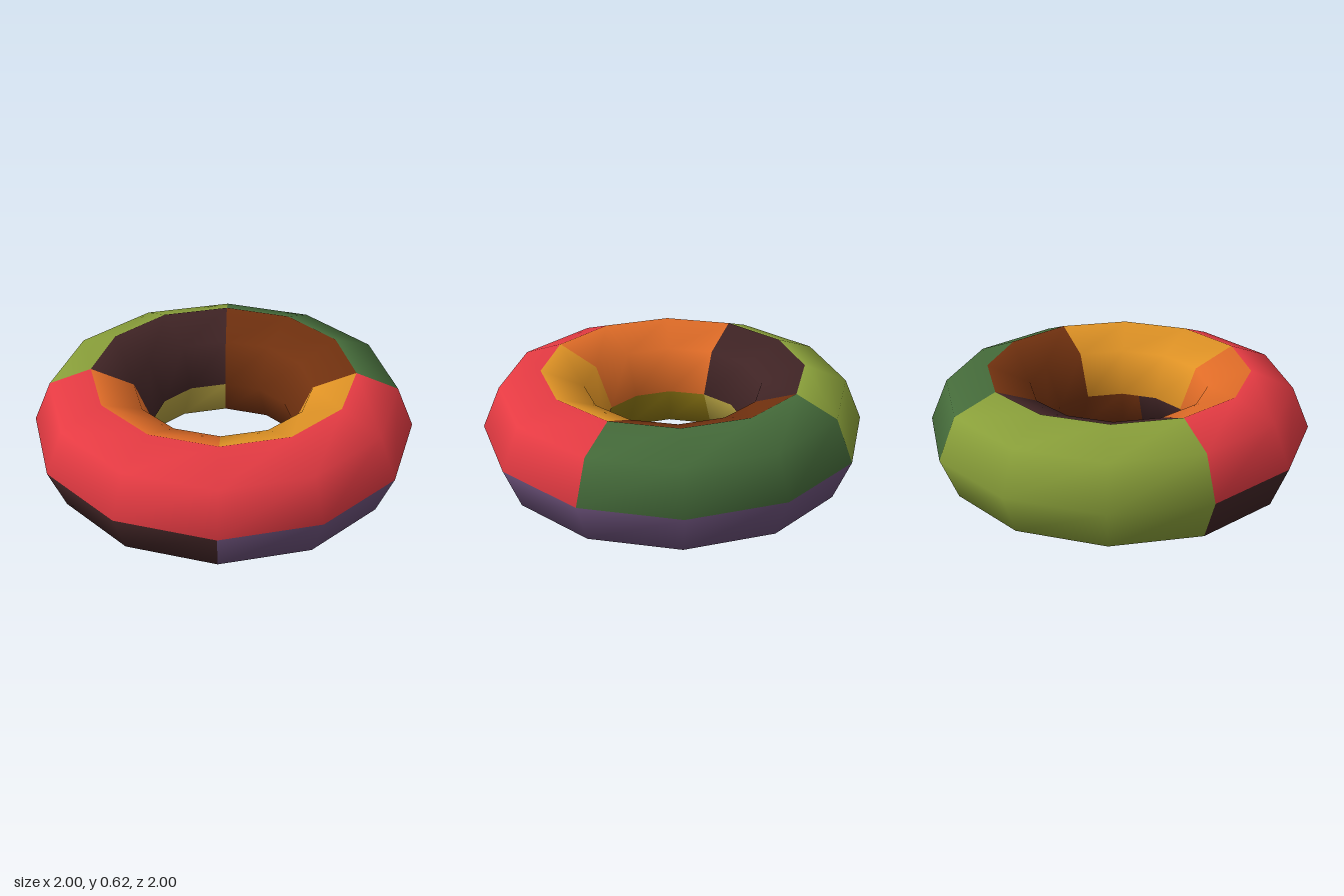
import * as THREE from 'three';

const RING = 0.6875, TUBE = 0.3125, SEGMENTS = 12, SIDES = 8;

function material(name, color) {
  const m = new THREE.MeshStandardMaterial({ color });
  m.name = name;
  return m;
}

// Point and smooth normal at step u around the ring (0 = +x, 3 = +z)
// and step v around the tube (0 = outside, 2 = top, 4 = inside, 6 = bottom).
function sample(u, v) {
  const at = (step) => {
    const a = (step / SEGMENTS) * Math.PI * 2, t = (v / SIDES) * Math.PI * 2;
    const normal = new THREE.Vector3(Math.cos(t) * Math.cos(a), Math.sin(t), Math.cos(t) * Math.sin(a));
    const point = new THREE.Vector3(RING * Math.cos(a), TUBE, RING * Math.sin(a)).addScaledVector(normal, TUBE);
    return { point, normal };
  };
  // A half step lies on the straight edge between two corners
  const a = at(Math.floor(u)), b = at(Math.ceil(u)), k = u - Math.floor(u);
  return { point: a.point.lerp(b.point, k), normal: a.normal.lerp(b.normal, k).normalize() };
}

// Surface patch between ring steps u0..u1 and tube steps v0..v1
function patchGeometry(u0, u1, v0, v1) {
  const us = [u0];
  for (let u = Math.floor(u0) + 1; u < u1; u++) us.push(u);
  us.push(u1);
  const positions = [], normals = [], index = [], row = v1 - v0 + 1;
  us.forEach((u, i) => {
    for (let j = 0; j < row; j++) {
      const { point, normal } = sample(u, v0 + j);
      positions.push(...point.toArray());
      normals.push(...normal.toArray());
      if (i < us.length - 1 && j < row - 1) {
        const a = i * row + j, b = a + row;
        index.push(a, a + 1, b, a + 1, b + 1, b);
      }
    }
  });
  const g = new THREE.BufferGeometry();
  g.setAttribute('position', new THREE.Float32BufferAttribute(positions, 3));
  g.setAttribute('normal', new THREE.Float32BufferAttribute(normals, 3));
  g.setIndex(index);
  return g;
}

export function createModel() {
  const red = material('red', 0xe63b43);
  const green = material('green', 0x456b3a);
  const olive = material('olive green', 0x8aa03a);
  const purple = material('purple', 0x694f77);
  const darkBrown = material('dark brown', 0x402425);
  const brown = material('brown', 0x71310f);
  const orange = material('orange', 0xe06c27);
  const amber = material('amber', 0xe09325);
  const gold = material('gold', 0x8a7412);
  const tan = material('tan', 0xb39f40);

  const patches = [
    // Outer upper band
    ['outerTopFront', red, 0, 6, 0, 2],
    ['outerTopBackRight', olive, 6, 9, 0, 2],
    ['outerTopBackLeft', green, 9, 12, 0, 2],
    // Inner upper band
    ['innerTopFrontLeft', amber, 0, 3, 2, 4],
    ['innerTopFrontRight', orange, 3, 6, 2, 4],
    ['innerTopBackRight', darkBrown, 6, 9, 2, 4],
    ['innerTopBackLeft', brown, 9, 12, 2, 4],
    // Inner lower band
    ['innerBottomLeft', brown, 0, 1.5, 4, 6],
    ['innerBottomFront', darkBrown, 1.5, 3, 4, 6],
    ['innerBottomFrontRightUpper', gold, 3, 6, 4, 5],
    ['innerBottomFrontRightLower', green, 3, 6, 5, 6],
    ['innerBottomBackRight', tan, 6, 9, 4, 6],
    ['innerBottomBackLeft', brown, 9, 12, 4, 6],
    // Outer lower band
    ['outerBottomFrontLeft', purple, 0, 3, 6, 8],
    ['outerBottomFrontRight', darkBrown, 3, 6, 6, 8],
    ['outerBottomBackRight', olive, 6, 9, 6, 8],
    ['outerBottomBackLeft', purple, 9, 12, 6, 8],
  ];

  const group = new THREE.Group();
  group.name = 'patchworkRing';
  for (const [name, mat, ...range] of patches) {
    const mesh = new THREE.Mesh(patchGeometry(...range), mat);
    mesh.name = name;
    group.add(mesh);
  }
  return group;
}
